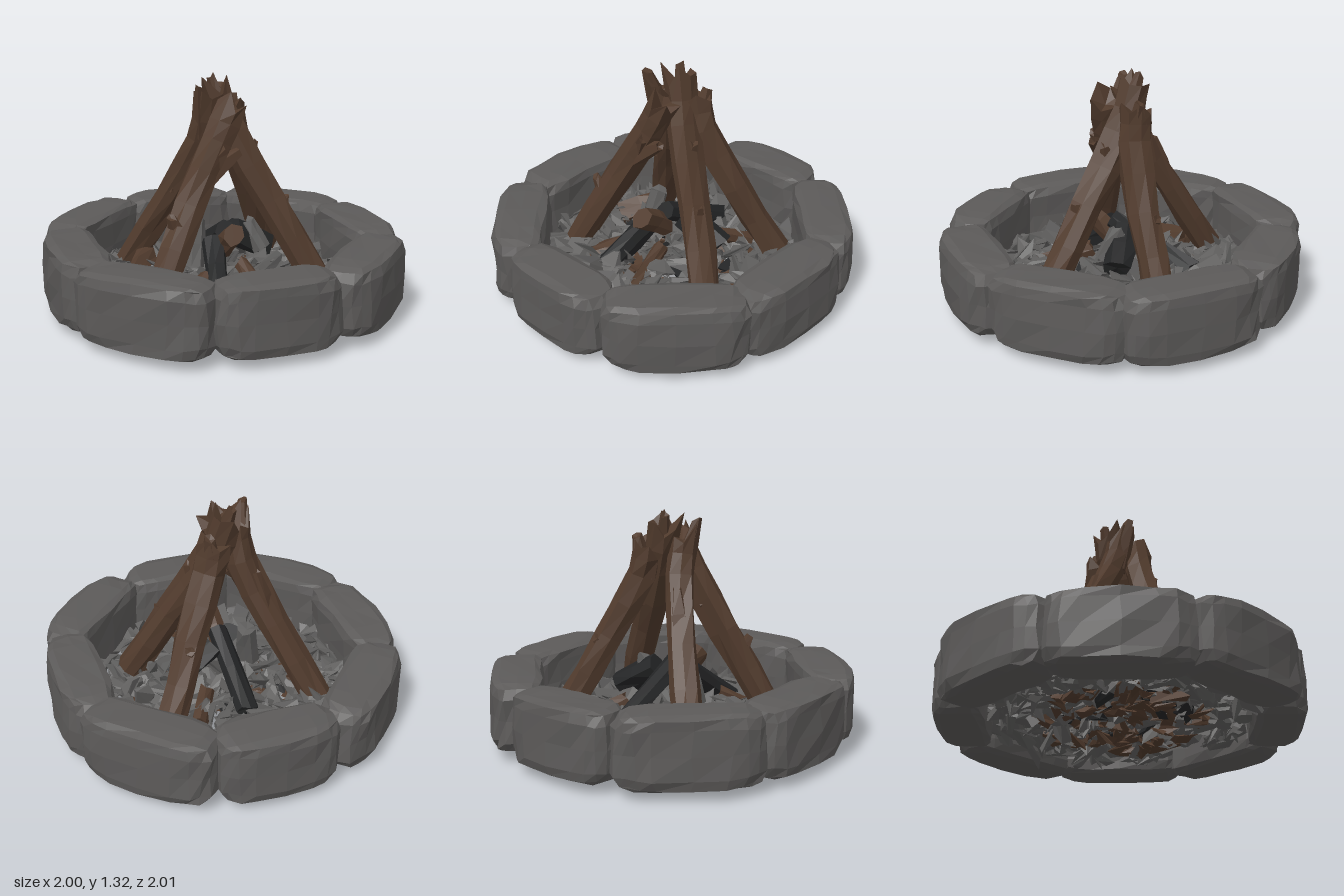
import * as THREE from 'three';
import { mergeGeometries } from 'three/addons/utils/BufferGeometryUtils.js';

const V = (x, y, z) => new THREE.Vector3(x, y, z);

// small seeded generator and a position hash in [-1, 1]
let seed = 7;
const rnd = (a = 0, b = 1) => {
  seed = (seed * 16807) % 2147483647;
  return a + (b - a) * (seed / 2147483647);
};
const hash = (x, y, z, s) => {
  const k = Math.sin(Math.round(x * 100) * 1.271 + Math.round(y * 100) * 3.117 + Math.round(z * 100) * 7.453 + s * 5.77) * 4375.85;
  return 2 * (k - Math.floor(k)) - 1;
};

// moves every vertex of a geometry by a rule
function reshape(geo, rule) {
  const pos = geo.attributes.position, p = new THREE.Vector3();
  for (let i = 0; i < pos.count; i++) {
    p.fromBufferAttribute(pos, i);
    rule(p);
    pos.setXYZ(i, p.x, p.y, p.z);
  }
  geo.computeVertexNormals();
  return geo;
}

// rounded ring stone with tapered ends; x along the ring, z outward
function stoneGeometry(halfLength, halfDepth, s) {
  const spread = (u) => Math.sign(u) * Math.abs(u) ** 0.6;
  return reshape(new THREE.BoxGeometry(2, 2, 2, 6, 4, 4), (p) => {
    const n = [0, 1, 2].map((k) => hash(p.x, p.y, p.z, s + k * 3.3));
    const u = spread(p.x), v = spread(p.y), w = spread(p.z);
    const f = (Math.abs(u) ** 8 + Math.abs(v) ** 8 + Math.abs(w) ** 8) ** (-1 / 8);
    const end = (u * f) ** 4;
    const bulge = w > 0 ? 0.03 * (1 - u * u) * w : 0;
    p.set(
      u * f * halfLength * (1 - 0.05 * w * w) + n[0] * 0.012,
      v * f * 0.198 * (1 - 0.07 * end) + n[1] * 0.004,
      w * f * halfDepth * (1 - 0.2 * end) + bulge + n[2] * 0.01
    );
  });
}

// rough log along a path; the far end can be splintered
function logGeometry(points, r0, r1, sides, rows, splinter, s) {
  const curve = new THREE.CatmullRomCurve3(points);
  return reshape(new THREE.CylinderGeometry(1, 1, 1, sides, rows), (p) => {
    const t = p.y + 0.5, rim = Math.hypot(p.x, p.z) > 0.5;
    const c = curve.getPoint(t), dir = curve.getTangent(t);
    const ax = V(0, 0, 1).cross(dir);
    if (ax.lengthSq() < 0.01) ax.set(1, 0, 0);
    ax.normalize();
    const az = ax.clone().cross(dir).normalize();
    const ridge = hash(p.x, 0, p.z, s) * 0.15 + hash(p.x, p.y, p.z, s) * 0.13;
    const r = (r0 + (r1 - r0) * t) * (1 + ridge);
    let along = 0;
    if (t > 0.99) along = rim ? splinter * hash(p.x, 2, p.z, s) : -splinter * 0.5;
    const { x, z } = p;
    p.copy(c).addScaledVector(ax, x * r).addScaledVector(az, z * r).addScaledVector(dir, along);
  });
}

// scattered shards merged into one geometry
function shards(count, radius, y0, y1, size, tilt) {
  const list = [], q = new THREE.Quaternion(), m = new THREE.Matrix4();
  for (let i = 0; i < count; i++) {
    const a = rnd(0, Math.PI * 2), r = radius * Math.sqrt(rnd());
    const mound = 1 + 0.5 * (1 - r / radius);
    const g = reshape(new THREE.BoxGeometry(1, 1, 1), (p) => {
      const n = [1, 2, 3].map((k) => hash(p.x, p.y, p.z, i * 1.7 + k));
      p.set(p.x + n[0] * 0.45, p.y + n[1] * 0.5, p.z + n[2] * 0.45);
    });
    q.setFromEuler(new THREE.Euler(rnd(-tilt, tilt), rnd(0, 6.28), rnd(-tilt, tilt)));
    m.compose(V(Math.cos(a) * r, rnd(y0, y1) * mound, Math.sin(a) * r), q,
      V(size * rnd(0.7, 1.7), size * rnd(0.2, 0.4), size * rnd(0.35, 0.8)));
    list.push(g.applyMatrix4(m));
  }
  return mergeGeometries(list);
}

export function createModel() {
  seed = 7;
  const model = new THREE.Group();
  model.name = 'campfire';
  const mat = (name, color) => {
    const m = new THREE.MeshStandardMaterial({ color, flatShading: true });
    m.name = name;
    return m;
  };
  const stone = mat('stone grey', 0x5c5a59);
  const ash = mat('ash grey', 0x5f5e5d);
  const wood = mat('bark brown', 0x513b2d);
  const coal = mat('charcoal', 0x242526);
  const add = (parent, name, geo, material) => {
    const mesh = new THREE.Mesh(geo, material);
    mesh.name = name;
    parent.add(mesh);
    return mesh;
  };
  const group = (name) => {
    const g = new THREE.Group();
    g.name = name;
    model.add(g);
    return g;
  };

  // ring of eight stones
  const ring = group('stoneRing');
  for (let i = 0; i < 8; i++) {
    const diagonal = i % 2 === 1, side = i % 4 === 2;
    const a = (i * Math.PI) / 4, r = diagonal ? 0.855 : side ? 0.83 : 0.84;
    const mesh = add(ring, 'ringStone', stoneGeometry(diagonal ? 0.39 : side ? 0.385 : 0.34, 0.136, i * 2.1), stone);
    mesh.position.set(Math.sin(a) * r, 0.205, Math.cos(a) * r);
    mesh.rotation.y = a;
  }

  // four leaning logs with splintered tops
  const logs = group('leaningLogs');
  [
    [V(-0.46, 0.14, 0.32), V(-0.24, 0.6, 0.18), V(-0.06, 0.93, 0.11), V(0.03, 1.12, 0.09)],
    [V(0.48, 0.14, 0.24), V(0.26, 0.57, 0.1), V(0.07, 0.95, -0.02), V(-0.01, 1.2, -0.07)],
    [V(0.44, 0.14, -0.4), V(0.26, 0.57, -0.23), V(0.11, 0.92, -0.12), V(0.07, 1.11, -0.11)],
    [V(-0.44, 0.14, -0.39), V(-0.24, 0.57, -0.2), V(-0.1, 0.92, -0.05), V(-0.08, 1.16, 0.01)],
  ].forEach((pts, i) => add(logs, 'leaningLog', logGeometry(pts, 0.08, 0.084, 8, 6, 0.09, i * 4.3 + 1), wood));

  // broken branch stubs and splinters on the logs
  [
    [V(-0.31, 0.43, 0.22), V(-0.37, 0.57, 0.25)],
    [V(-0.16, 0.74, 0.14), V(0.04, 0.87, 0.15)],
    [V(-0.12, 0.78, 0.13), V(-0.04, 0.9, 0.19)],
    [V(0.29, 0.48, 0.12), V(0.33, 0.6, 0.14)],
    [V(0.13, 0.76, 0.03), V(0.19, 0.9, 0.03)],
    [V(0.28, 0.5, -0.24), V(0.29, 0.57, -0.32)],
    [V(0.15, 0.74, -0.15), V(0.19, 0.9, -0.12)],
    [V(-0.22, 0.6, -0.17), V(-0.15, 0.87, -0.13)],
    [V(-0.1, 0.95, -0.03), V(-0.14, 1.23, 0.05)],
    [V(0.05, 0.98, -0.03), V(-0.03, 1.26, -0.09)],
    [V(0.1, 0.9, -0.11), V(0.12, 1.14, -0.15)],
  ].forEach(([a, b], i) => add(logs, 'branchStub',
    logGeometry([a, a.clone().lerp(b, 0.5), b], 0.07, 0.026, 5, 2, 0.02, i * 2.9), wood));

  // short burnt logs and wood offcuts inside the ring
  const fuel = group('innerFuel');
  const piece = (name, a, b, r, material, s) =>
    add(fuel, name, logGeometry([a, a.clone().lerp(b, 0.5), b], r, r * 0.95, 7, 2, 0.02, s), material);
  piece('burntLog', V(0, 0.41, 0.06), V(-0.01, 0.17, -0.42), 0.064, coal, 2);
  piece('burntLog', V(0.07, 0.38, -0.03), V(0.3, 0.24, -0.09), 0.08, coal, 3);
  piece('burntLog', V(-0.08, 0.36, 0.08), V(-0.15, 0.14, 0.38), 0.07, coal, 4);
  piece('offcut', V(-0.01, 0.43, 0.24), V(-0.01, 0.3, 0.05), 0.062, wood, 5);
  piece('offcut', V(-0.49, 0.13, -0.05), V(-0.36, 0.2, -0.27), 0.065, wood, 6);
  piece('offcut', V(0.13, 0.12, 0.46), V(0.06, 0.24, 0.16), 0.045, wood, 7);
  piece('offcut', V(-0.3, 0.12, 0.36), V(-0.16, 0.2, 0.24), 0.05, wood, 8);
  piece('offcut', V(0.26, 0.12, -0.38), V(0.16, 0.2, -0.2), 0.05, wood, 9);
  piece('greyChunk', V(-0.18, 0.2, 0.02), V(-0.14, 0.45, -0.04), 0.055, ash, 10);
  piece('greyChunk', V(0.08, 0.14, 0.22), V(0.34, 0.18, -0.02), 0.05, ash, 11);
  piece('greyChunk', V(-0.5, 0.13, 0.12), V(-0.28, 0.17, 0.2), 0.05, ash, 12);
  piece('greyChunk', V(0.24, 0.26, 0.02), V(0.16, 0.42, -0.04), 0.05, ash, 13);

  // bed of ash shards with wood and coal fragments
  const bed = group('ashBed');
  add(bed, 'ashShards', shards(440, 0.73, 0.07, 0.14, 0.1, 0.75), ash);
  add(bed, 'woodShards', shards(80, 0.5, 0.055, 0.08, 0.085, 0.4), wood);
  add(bed, 'coalShards', shards(20, 0.4, 0.06, 0.11, 0.085, 0.5), coal);

  return model;
}
